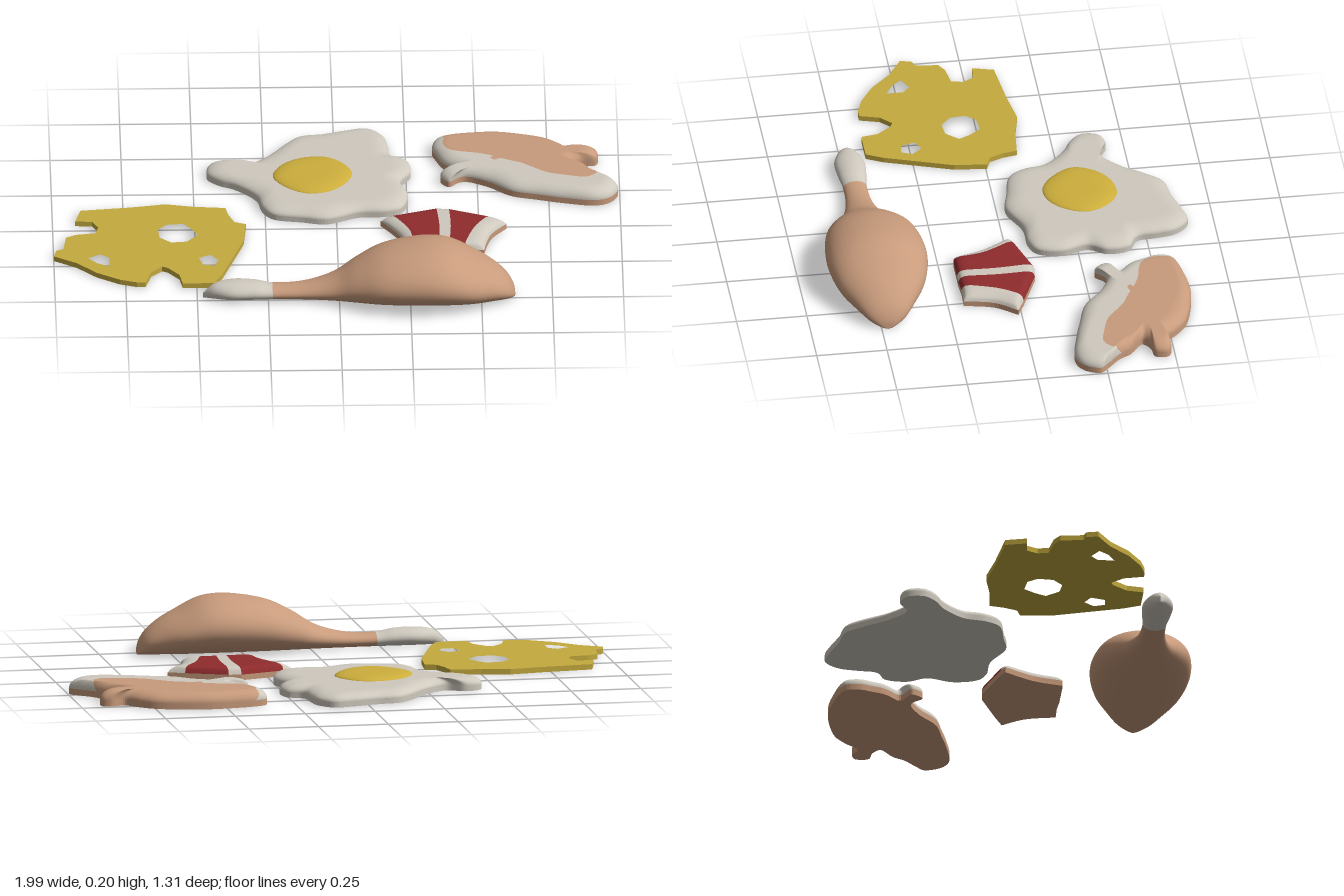
import * as THREE from 'three';
import { mergeVertices } from 'three/addons/utils/BufferGeometryUtils.js';

const mat = (name, color) => new THREE.MeshStandardMaterial({ name, color });

// Smooth surface from a rule fn(u, v) -> [x, y, z]
function grid(nu, nv, fn) {
  const pos = [], idx = [];
  for (let j = 0; j <= nv; j++)
    for (let i = 0; i <= nu; i++) pos.push(...fn(i / nu, j / nv));
  for (let j = 0; j < nv; j++)
    for (let i = 0; i < nu; i++) {
      const a = j * (nu + 1) + i, b = a + nu + 1;
      idx.push(a, a + 1, b, a + 1, b + 1, b);
    }
  let g = new THREE.BufferGeometry();
  g.setAttribute('position', new THREE.Float32BufferAttribute(pos, 3));
  g.setIndex(idx);
  g = mergeVertices(g, 1e-5);
  g.computeVertexNormals();
  return g;
}

// Flat slab standing on y = 0 from [x, z] points, with optional holes
function slab(points, height, holes = []) {
  const flat = list => list.map(([x, z]) => new THREE.Vector2(x, -z));
  const shape = new THREE.Shape(flat(points));
  shape.holes = holes.map(h => new THREE.Path(flat(h)));
  return new THREE.ExtrudeGeometry(shape, { depth: height, bevelEnabled: false }).rotateX(-Math.PI / 2);
}

// Closed smooth outline from [x, z, split]; split is where an inner colour ends
const SEG = 200;
function smoothOutline(points) {
  const curve = new THREE.CatmullRomCurve3(points.map(([x, z, f = 1]) => new THREE.Vector3(x, f, z)), true, 'centripetal');
  return Array.from({ length: SEG }, (_, i) => {
    const p = curve.getPoint(i / SEG);
    return [p.x, p.z, Math.min(p.y, 1)];
  });
}

const round = d => Math.sqrt(1 - (1 - Math.min(d, 1)) ** 2);

// Round-edged top over an outline, between the radial fractions from(f) and to(f)
function dome(outline, [cx, cz], low, high, rim, from, to) {
  return grid(SEG, 20, (u, v) => {
    const [x, z, f] = outline[Math.round(u * SEG) % SEG];
    const s = 1 - (1 - v) ** 2;
    const t = from(f) + (to(f) - from(f)) * s;
    const d = (1 - t) * Math.hypot(x - cx, z - cz);
    return [cx + (x - cx) * t, low + (high - low) * round(d / rim), cz + (z - cz) * t];
  });
}
const zero = () => 0, one = () => 1, split = f => f;

export function createModel() {
  const model = new THREE.Group();
  const meat = mat('cooked meat', 0xc89b7c);
  const white = mat('off white', 0xcfc9be);
  const cheeseYellow = mat('cheese yellow', 0xc4aa3e);
  const yolkYellow = mat('yolk yellow', 0xcdae3c);
  const red = mat('red meat', 0x8f2b2d);

  const group = name => {
    const g = new THREE.Group();
    g.name = name;
    model.add(g);
    return g;
  };
  const add = (parent, name, geometry, material) => {
    const m = new THREE.Mesh(geometry, material);
    m.name = name;
    parent.add(m);
  };

  // Cheese slice with holes
  const cheese = [[-.9, -.11], [-.72, -.13], [-.6, -.15], [-.5, -.13], [-.39, -.12], [-.38, -.07], [-.36, -.02],
    [-.32, -.005], [-.33, .11], [-.37, .23], [-.41, .35], [-.44, .41], [-.55, .41], [-.56, .35], [-.6, .3],
    [-.62, .29], [-.66, .33], [-.68, .4], [-.71, .4], [-.77, .38], [-.85, .33], [-.92, .26], [-1, .21],
    [-.99, .17], [-.965, .16], [-.955, .08], [-.92, .06], [-.85, .05], [-.84, .01], [-.86, -.03], [-.92, -.035]];
  const holes = [
    [[-.63, .03], [-.6, -.005], [-.54, -.01], [-.51, .03], [-.49, .07], [-.53, .115], [-.585, .12], [-.625, .085]],
    [[-.88, .225], [-.835, .2], [-.805, .225], [-.805, .285], [-.85, .26]],
    [[-.49, .23], [-.45, .21], [-.42, .245], [-.435, .285], [-.475, .28]]
  ];
  add(group('cheeseSlice'), 'cheese', slab(cheese, .019, holes), cheeseYellow);

  // Fried egg
  const egg = group('friedEgg');
  const eggLine = smoothOutline([[.125, -.655], [.175, -.605], [.19, -.535], [.2, -.465], [.255, -.43], [.265, -.35],
    [.23, -.285], [.255, -.19], [.23, -.105], [.18, -.08], [.08, -.075], [-.035, -.03], [-.12, -.045],
    [-.225, -.07], [-.26, -.12], [-.28, -.2], [-.355, -.28], [-.41, -.31], [-.45, -.355], [-.44, -.415],
    [-.385, -.435], [-.32, -.405], [-.24, -.465], [-.17, -.555], [-.12, -.605], [-.035, -.62], [.055, -.645]]);
  add(egg, 'eggWhiteBase', slab(eggLine, .02), white);
  add(egg, 'eggWhiteTop', dome(eggLine, [-.08, -.32], .02, .046, .07, zero, one), white);
  const yolkLine = smoothOutline([[-.12, -.42], [-.03, -.425], [.03, -.38], [.06, -.31], [.03, -.23],
    [-.03, -.18], [-.1, -.17], [-.17, -.21], [-.22, -.29], [-.19, -.37]]);
  add(egg, 'yolk', dome(yolkLine, [-.08, -.3], .044, .061, .08, zero, one), yolkYellow);

  // Chop with a fat rim along the left and front edges
  const chop = group('chop');
  const chopLine = smoothOutline([[.35, -.55, .89], [.39, -.58, 1], [.46, -.595, 1], [.56, -.605, 1], [.68, -.585, 1],
    [.75, -.56, 1], [.8, -.52, 1], [.845, -.475, 1], [.895, -.49, 1], [.925, -.475, 1], [.92, -.43, 1],
    [.87, -.42, 1], [.84, -.395, 1], [.895, -.345, 1], [.915, -.31, 1], [.97, -.255, .82], [.995, -.225, .76],
    [.97, -.17, .7], [.905, -.145, .6], [.8, -.165, .57], [.71, -.19, .465], [.615, -.22, .39],
    [.535, -.285, .44], [.465, -.32, .44], [.435, -.315, .42], [.4, -.285, .41], [.37, -.325, .43],
    [.425, -.36, .48], [.385, -.41, .57], [.36, -.465, .88], [.345, -.51, .89]]);
  const chopCentre = [.68, -.44];
  add(chop, 'chopBase', slab(chopLine, .022), meat);
  add(chop, 'chopMeat', dome(chopLine, chopCentre, .022, .058, .06, zero, split), meat);
  add(chop, 'chopFat', dome(chopLine, chopCentre, .022, .058, .06, split, one), white);

  // Bacon piece: columns of back, middle and front points, left to right
  const bacon = group('bacon');
  const columns = [
    [[.155, -.015], [.22, .09], [.25, .195]],
    [[.19, -.03], [.255, .09], [.265, .197]],
    [[.35, -.08], [.36, .06], [.355, .197]],
    [[.395, -.075], [.4, .06], [.392, .197]],
    [[.54, -.015], [.485, .07], [.445, .193]],
    [[.597, .012], [.54, .09], [.515, .195]]
  ];
  const curves = columns.map(c => new THREE.SplineCurve(c.map(p => new THREE.Vector2(...p))));
  const names = ['leftFat', 'leftMeat', 'middleFat', 'rightMeat', 'rightFat'];
  names.forEach((name, k) => {
    const geometry = grid(16, 24, (u, v) => {
      const s = 1 - v;
      const p = curves[k].getPoint(s).lerp(curves[k + 1].getPoint(s), u);
      const first = curves[0].getPoint(s), last = curves[5].getPoint(s);
      const edge = Math.min(p.x - first.x, last.x - p.x);
      const y = .02 + .025 * round(Math.max(edge, 0) / .05) * round(Math.min(s, 1 - s) / .2);
      return [p.x, y, p.y];
    });
    add(bacon, name, geometry, k % 2 ? red : white);
  });
  const side = k => curves[k].getPoints(12).map(p => [p.x, p.y]);
  const backs = columns.slice(1, 5).map(c => c[0]), fronts = columns.slice(1, 5).map(c => c[2]);
  add(bacon, 'baconBase', slab([...backs, ...side(5), ...fronts.reverse(), ...side(0).reverse()], .02), meat);

  // Drumstick: oval sections [x, height, half width] resting on the ground
  const leg = group('drumstick');
  const stations = [[-.48, .02, 0], [-.44, .053, .03], [-.38, .063, .053], [-.3, .061, .05], [-.235, .05, .042],
    [-.125, .055, .048], [-.02, .085, .075], [.06, .135, .115], [.14, .175, .152], [.22, .195, .17],
    [.32, .205, .178], [.39, .195, .172], [.47, .157, .148], [.54, .12, .107], [.59, .078, .07],
    [.615, .035, .03], [.62, 0, 0]];
  const profile = new THREE.CatmullRomCurve3(stations.map(s => new THREE.Vector3(...s)));
  const limb = (from, to) => grid(48, 64, (u, v) => {
    const s = profile.getPoint(from + (to - from) * v), a = -u * Math.PI * 2;
    return [s.x, s.y / 2 * (1 - Math.cos(a)), .477 + s.z * Math.sin(a)];
  });
  const joint = 4 / (stations.length - 1);
  add(leg, 'bone', limb(0, joint), white);
  add(leg, 'legMeat', limb(joint, 1), meat);

  return model;
}
